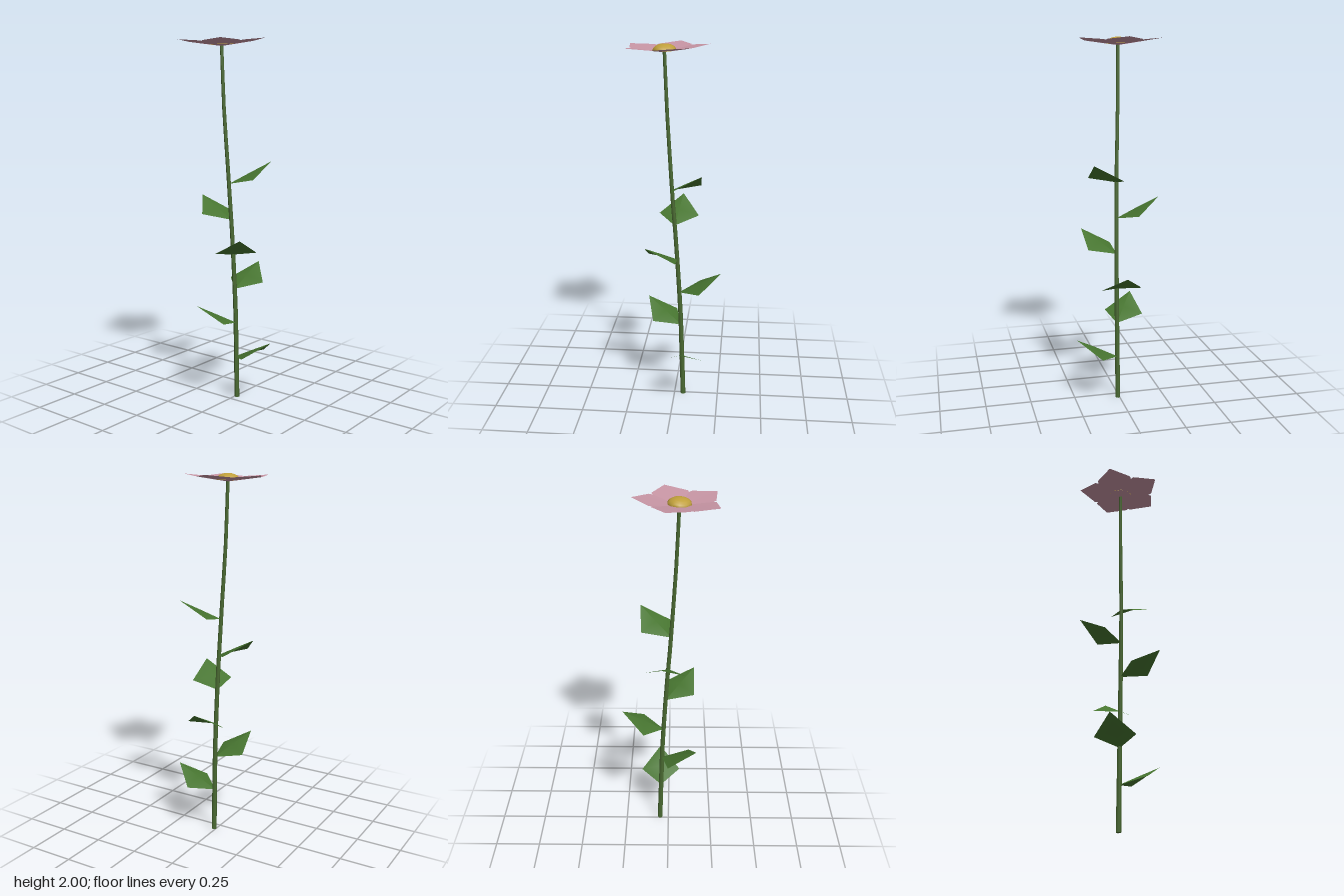
import * as THREE from 'three';

const stemGreen = new THREE.MeshStandardMaterial({ color: 0x4a6a32 });
const leafGreen = new THREE.MeshStandardMaterial({ color: 0x477530, side: THREE.DoubleSide });
const petalPink = new THREE.MeshStandardMaterial({ color: 0xc795a4, side: THREE.DoubleSide });
const centreYellow = new THREE.MeshStandardMaterial({ color: 0xbf9f3a });
stemGreen.name = 'stemGreen';
leafGreen.name = 'leafGreen';
petalPink.name = 'petalPink';
centreYellow.name = 'centreYellow';

// Gently bowed line the stem follows
const stemPath = new THREE.CatmullRomCurve3([
  new THREE.Vector3(0.01, 0, -0.05),
  new THREE.Vector3(0.011, 0.6, -0.03),
  new THREE.Vector3(0.003, 1.2, 0.012),
  new THREE.Vector3(-0.01, 1.6, 0.038),
  new THREE.Vector3(-0.015, 1.962, 0.054),
]);
const stemPoints = stemPath.getPoints(80);
const stemAt = (y) => stemPoints.reduce((a, b) => (Math.abs(b.y - y) < Math.abs(a.y - y) ? b : a));

// Blade from rows [distance, half width, middle height, edge height], pointing along +z
function blade(rows) {
  const pos = [], index = [];
  rows.forEach(([z, w, mid, edge], r) => {
    pos.push(-w, edge, z, 0, mid, z, w, edge, z);
    if (r === 0) return;
    const a = (r - 1) * 3, b = r * 3;
    for (let c = 0; c < 2; c++) {
      index.push(a + c, b + c, b + c + 1, a + c, b + c + 1, a + c + 1);
    }
  });
  const geo = new THREE.BufferGeometry();
  geo.setAttribute('position', new THREE.Float32BufferAttribute(pos, 3));
  geo.setIndex(index);
  geo.computeVertexNormals();
  return geo;
}

function makeStem() {
  const geo = new THREE.CylinderGeometry(0.009, 0.014, 1.962, 6, 12);
  geo.translate(0, 0.981, 0);
  const p = geo.attributes.position;
  for (let i = 0; i < p.count; i++) {
    const s = stemAt(p.getY(i));
    p.setXYZ(i, p.getX(i) + s.x, p.getY(i), p.getZ(i) + s.z);
  }
  geo.computeVertexNormals();
  const stem = new THREE.Mesh(geo, stemGreen);
  stem.name = 'stem';
  return stem;
}

function makeLeaves() {
  const leaves = new THREE.Group();
  leaves.name = 'leaves';
  const geo = blade([
    [0, 0.002, 0, 0],
    [0.112, 0.112, 0.058, 0.03],
    [0.23, 0.001, 0.117, 0.117],
  ]);
  // [height on stem, ground direction x, z]
  [
    [0.243, 1, -0.03],
    [0.44, -0.12, 0.19],
    [0.637, -0.02, -1],
    [0.833, 1, 0.96],
    [1.03, -1, -0.14],
    [1.228, 0.158, -0.168],
  ].forEach(([y, dx, dz]) => {
    const leaf = new THREE.Mesh(geo, leafGreen);
    leaf.name = 'leaf';
    const s = stemAt(y);
    leaf.position.set(s.x, y, s.z);
    leaf.rotation.y = Math.atan2(dx, dz);
    leaves.add(leaf);
  });
  return leaves;
}

function makeFlower() {
  const flower = new THREE.Group();
  flower.name = 'flower';
  // Five overlapping kite-shaped petals
  const geo = blade([
    [0, 0.004, 0, 0],
    [0.06, 0.055, 0.01, 0.011],
    [0.125, 0.096, 0.019, 0.022],
    [0.152, 0.097, 0.024, 0.026],
    [0.238, 0.001, 0.036, 0.036],
  ]);
  for (let i = 0; i < 5; i++) {
    const petal = new THREE.Mesh(geo, petalPink);
    petal.name = 'petal';
    petal.rotation.y = Math.PI + 0.02 + (i * Math.PI * 2) / 5;
    flower.add(petal);
  }
  // Domed middle
  const dome = new THREE.Mesh(
    new THREE.SphereGeometry(0.063, 10, 5, 0, Math.PI * 2, 0, Math.PI / 2), centreYellow);
  dome.name = 'flowerCentre';
  dome.scale.y = 0.57;
  dome.position.y = 0.008;
  flower.add(dome);
  flower.position.set(-0.015, 1.957, 0.054);
  flower.rotation.x = 0.03;
  return flower;
}

export function createModel() {
  const model = new THREE.Group();
  model.name = 'flowerPlant';
  model.add(makeStem(), makeLeaves(), makeFlower());
  return model;
}
